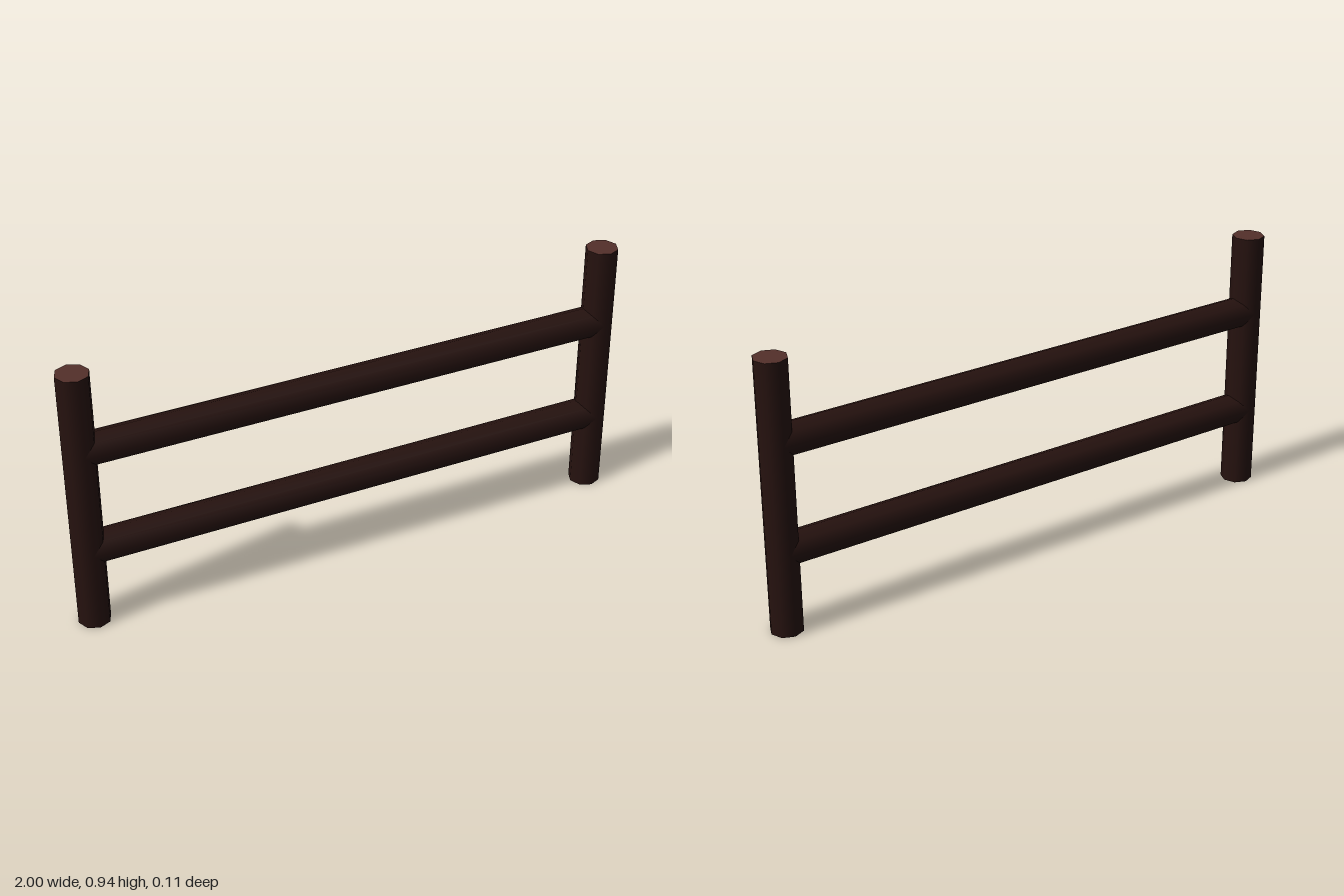
import * as THREE from 'three';

const RADIUS = 0.056;
const POST_X = 0.944;
const POST_HEIGHT = 0.944;
const RAIL_HEIGHTS = [0.286, 0.662];

export function createModel() {
  const group = new THREE.Group();
  group.name = 'fence';

  const bark = new THREE.MeshStandardMaterial({ color: 0x26120f });
  const cutWood = new THREE.MeshStandardMaterial({ color: 0x54302a });

  // A round log: dark bark on the side, lighter cut wood on both ends
  function log(name, length) {
    const geometry = new THREE.CylinderGeometry(RADIUS, RADIUS, length, 8);
    const mesh = new THREE.Mesh(geometry, [bark, cutWood, cutWood]);
    mesh.name = name;
    group.add(mesh);
    return mesh;
  }

  // Upright posts at both ends
  for (const [name, side] of [['leftPost', 1], ['rightPost', -1]]) {
    log(name, POST_HEIGHT).position.set(side * POST_X, POST_HEIGHT / 2, 0);
  }

  // Horizontal rails running between the post centres
  RAIL_HEIGHTS.forEach((y, i) => {
    const rail = log(i ? 'upperRail' : 'lowerRail', POST_X * 2);
    rail.rotation.z = Math.PI / 2;
    rail.position.y = y;
  });

  return group;
}
